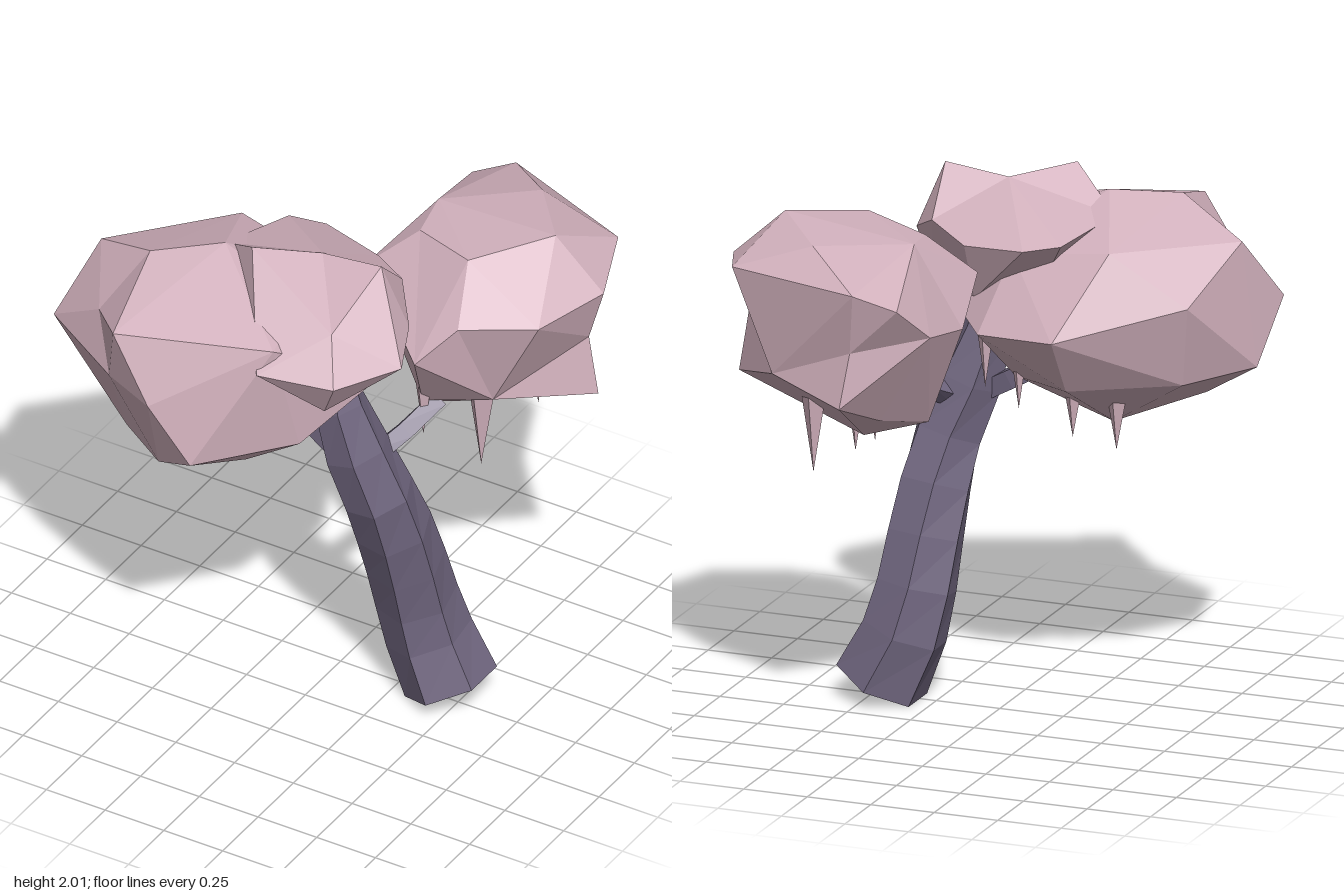
import * as THREE from 'three';
import { ConvexGeometry } from 'three/addons/geometries/ConvexGeometry.js';

const bark = new THREE.MeshStandardMaterial({ color: 0x70667f });
bark.name = 'bark';
const blossom = new THREE.MeshStandardMaterial({ color: 0xd2b1bd });
blossom.name = 'blossom';

// Faceted limb through rings [x, y, z, radius], capped at both ends
function limb(rings, sides, twist) {
  const centres = rings.map(([x, y, z]) => new THREE.Vector3(x, y, z));
  const pos = [];
  const index = [];
  const n = rings.length;
  rings.forEach((ring, i) => {
    const t = centres[Math.min(i + 1, n - 1)].clone().sub(centres[Math.max(i - 1, 0)]);
    if (i === 0 && sides === 6) t.z = 0; // the foot is cut square to z
    t.normalize();
    const u = new THREE.Vector3().crossVectors(t, new THREE.Vector3(0, 0, 1)).normalize();
    const v = new THREE.Vector3().crossVectors(t, u);
    for (let j = 0; j < sides; j++) {
      const a = ((j + 0.5) / sides) * Math.PI * 2 + i * twist;
      const p = centres[i].clone()
        .addScaledVector(u, ring[3] * Math.cos(a))
        .addScaledVector(v, ring[3] * Math.sin(a));
      pos.push(p.x, p.y, p.z);
    }
  });
  for (let i = 0; i < n - 1; i++) {
    for (let j = 0; j < sides; j++) {
      const a = i * sides + j;
      const b = i * sides + ((j + 1) % sides);
      index.push(a, b, b + sides, a, b + sides, a + sides);
    }
  }
  const top = (n - 1) * sides;
  for (let j = 1; j < sides - 1; j++) {
    index.push(0, j + 1, j, top, top + j, top + j + 1);
  }
  const g = new THREE.BufferGeometry();
  g.setAttribute('position', new THREE.Float32BufferAttribute(pos, 3));
  g.setIndex(index);
  const flat = g.toNonIndexed();
  flat.computeVertexNormals();
  return flat;
}

// Faceted crown: corners are joined by their directions from the centre,
// then moved out to their own places, so dents are kept
function crown(centre, corners) {
  const c = new THREE.Vector3(...centre);
  const points = corners.map((p) => new THREE.Vector3(...p));
  const dirs = points.map((p) => p.clone().sub(c).normalize());
  const g = new ConvexGeometry(dirs);
  const pos = g.attributes.position;
  const d = new THREE.Vector3();
  for (let i = 0; i < pos.count; i++) {
    d.fromBufferAttribute(pos, i);
    let best = 0;
    dirs.forEach((dir, k) => {
      if (dir.distanceToSquared(d) < dirs[best].distanceToSquared(d)) best = k;
    });
    pos.setXYZ(i, points[best].x, points[best].y, points[best].z);
  }
  g.computeVertexNormals();
  return g;
}

// Downward cone with its point at (x, y, z)
function spike(x, y, z, height, radius) {
  const g = new THREE.ConeGeometry(radius, height, 4).toNonIndexed();
  g.computeVertexNormals();
  g.rotateX(Math.PI);
  g.translate(x, y + height / 2, z);
  return g;
}

// Centre and corner points of the three crowns
const crowns = {
  frontCrown: [[-0.36, 1.5, 0.3], [
    [-0.905, 1.53, 0.525], [-0.82, 1.78, 0.33], [-0.54, 1.9, 0.45], [-0.31, 1.93, 0.3],
    [-0.47, 1.785, 0.83], [0.08, 1.77, 0.61], [-0.655, 1.7, 0.62], [-0.87, 1.3, 0.35],
    [-0.61, 1.13, 0.5], [-0.31, 1.03, 0.34], [-0.16, 1.29, 0.8], [-0.31, 1.53, 0.85],
    [0.125, 1.31, 0.5], [-0.73, 1.6, 0.02], [-0.68, 1.28, 0.1], [-0.31, 1.5, -0.265],
    [0.02, 1.47, -0.17], [-0.3, 1.27, -0.1], [-0.02, 1.24, 0.1], [-0.45, 1.8, -0.05],
    [-0.05, 1.74, 0], [-0.1, 1.16, 0.5], [0.33, 1.54, 0.22], [0.02, 1.8, 0.3],
    [-0.54, 1.52, 0.74], [-0.36, 1.17, 0.69],
  ]],
  middleCrown: [[0.05, 1.76, 0.25], [
    [-0.365, 1.86, 0.215], [-0.28, 1.82, -0.1], [-0.15, 1.8, -0.15], [0.1, 1.78, -0.1],
    [0.28, 1.82, 0.03], [0.3, 1.99, 0.21], [0.05, 1.96, 0.21], [-0.16, 2, 0.36],
    [0.47, 1.68, 0.35], [0.33, 1.68, 0.6], [0.04, 1.68, 0.66], [0.4, 1.74, 0.18],
    [0.25, 1.52, 0.53], [0.35, 1.54, 0.22], [0, 1.5, 0.3], [0.1, 1.55, 0],
    [0.25, 1.83, 0.48], [-0.1, 1.55, 0.1],
  ]],
  backCrown: [[0.42, 1.53, -0.37], [
    [0.235, 1.79, -0.85], [0.085, 1.73, -0.79], [0.01, 1.6, -0.65], [0, 1.55, -0.36],
    [0.79, 1.78, -0.65], [0.9, 1.74, -0.365], [0.8, 1.72, -0.07], [0.535, 1.7, 0.06],
    [0.41, 1.56, 0.16], [0.48, 1.89, -0.63], [0.695, 1.925, -0.365], [0.2, 1.85, -0.23],
    [0.17, 1.87, -0.41], [0.47, 1.88, -0.12], [0.88, 1.29, -0.36], [0.62, 1.4, -0.68],
    [0.3, 1.34, -0.82], [0.33, 1.14, -0.22], [0.34, 1.14, -0.48], [0.22, 1.25, -0.62],
    [0.11, 1.2, -0.42], [0.33, 1.26, -0.03], [0.6, 1.33, -0.08], [0.03, 1.7, -0.14],
    [0.84, 1.53, -0.36], [0.27, 1.55, -0.79],
  ]],
};

export function createModel() {
  const tree = new THREE.Group();
  tree.name = 'tree';
  const add = (name, geometry, material) => {
    const mesh = new THREE.Mesh(geometry, material);
    mesh.name = name;
    tree.add(mesh);
  };

  // Leaning six-sided trunk
  add('trunk', limb([
    [0.457, 0.057, -0.02, 0.18], [0.37, 0.25, -0.01, 0.165], [0.335, 0.42, 0.02, 0.155],
    [0.32, 0.6, 0.07, 0.15], [0.305, 0.78, 0.13, 0.145], [0.28, 0.96, 0.195, 0.135],
    [0.21, 1.16, 0.235, 0.125], [0.15, 1.36, 0.26, 0.1], [0.12, 1.5, 0.26, 0.08],
  ], 6, 0.07), bark);

  // Branches reaching into the crowns
  add('backBranch', limb([[0.24, 1.1, 0.2, 0.045], [0.31, 1.17, 0.06, 0.045], [0.37, 1.25, -0.08, 0.045]], 4, 0), bark);
  add('frontBranch', limb([[0.2, 1.1, 0.24, 0.05], [0.04, 1.19, 0.22, 0.05], [-0.16, 1.3, 0.22, 0.045]], 4, 0), bark);
  add('topBranch', limb([[0.13, 1.45, 0.26, 0.05], [0, 1.7, 0.18, 0.035], [-0.1, 1.9, 0.13, 0.03]], 4, 0), bark);

  // Foliage masses
  for (const [name, [centre, corners]] of Object.entries(crowns)) {
    add(name, crown(centre, corners), blossom);
  }

  // Hanging blossom spikes: tip x, y, z, height, radius
  [
    [0.505, 0.965, -0.155, 0.36, 0.06], [0.51, 1, -0.55, 0.4, 0.065],
    [-0.39, 0.98, 0.17, 0.34, 0.065], [-0.23, 1.02, 0.14, 0.34, 0.065],
    [0.34, 1.12, -0.02, 0.3, 0.045], [0.3, 1.12, -0.47, 0.2, 0.03],
    [0.09, 1.19, 0.08, 0.4, 0.06], [-0.05, 1.13, 0.06, 0.32, 0.05],
  ].forEach((s, i) => add('hangingSpike' + (i + 1), spike(...s), blossom));

  return tree;
}
